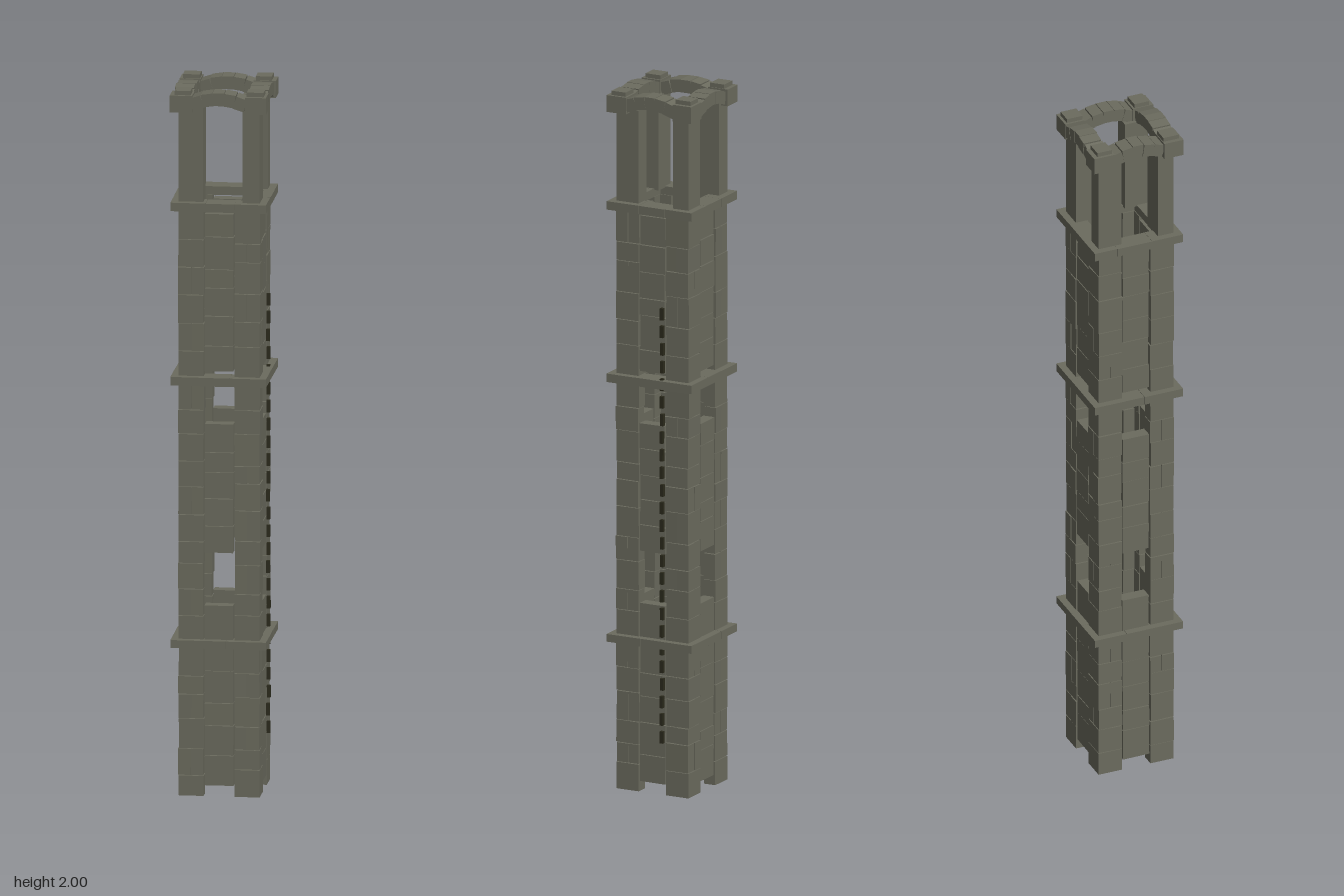
import * as THREE from 'three';

const H = 0.113;   // outer half width of the shaft
const IN = 0.077;  // inner face of the walls
const WIN = 0.04;  // half width of the middle panels and windows

export function createModel() {
  const tower = new THREE.Group();
  tower.name = 'stoneTower';
  const stoneMat = new THREE.MeshStandardMaterial({ color: 0x6b6b5e });
  stoneMat.name = 'weathered stone';
  const ironMat = new THREE.MeshStandardMaterial({ color: 0x2b2a1c });
  ironMat.name = 'dark iron';

  let seed = 17;
  const rnd = () => (seed = (seed * 16807) % 2147483647) / 2147483647;
  const jit = (a) => (rnd() - 0.5) * 2 * a;

  // one box given by its limits, optionally a little uneven
  function block(parent, name, u0, u1, y0, y1, w0, w1, uneven = 0, mat = stoneMat) {
    const m = new THREE.Mesh(new THREE.BoxGeometry(u1 - u0, y1 - y0, w1 - w0), mat);
    m.position.set((u0 + u1) / 2 + jit(uneven), (y0 + y1) / 2, (w0 + w1) / 2 + jit(uneven));
    m.rotation.set(jit(uneven * 4), jit(uneven * 4), jit(uneven * 6));
    m.name = name;
    parent.add(m);
    return m;
  }

  // split a height range into uneven courses
  function courses(y0, y1, size, fn) {
    const n = Math.max(1, Math.round((y1 - y0) / size));
    const cuts = [y0];
    for (let i = 1; i < n; i++) cuts.push(y0 + ((y1 - y0) * (i + jit(0.18))) / n);
    cuts.push(y1);
    for (let i = 0; i < n; i++) {
      fn(cuts[i] + (i ? 0.001 : 0), cuts[i + 1] - (i < n - 1 ? 0.001 : 0), i);
    }
  }

  const E = 0.0015;
  for (let k = 0; k < 4; k++) {
    const side = new THREE.Group();
    side.name = 'towerSide' + (k + 1);
    side.rotation.y = (k * Math.PI) / 2;
    tower.add(side);

    // corner stones, the long arm changing face with each course
    for (const [a, b] of [[0, 0.42], [0.44, 1.165], [1.19, 1.66]]) {
      courses(a, b, 0.075, (y0, y1, i) => {
        const e = i ? E : 0;
        if (i % 2 === 0) {
          block(side, 'cornerStone', -H, -WIN - 0.003, y0, y1, IN, H, e);
          block(side, 'cornerStone', -H, -IN, y0, y1, WIN + 0.003, IN, e);
        } else {
          block(side, 'cornerStone', -H, -IN, y0, y1, WIN + 0.003, H, e);
          block(side, 'cornerStone', -IN, -WIN - 0.003, y0, y1, IN, H, e);
        }
      });
    }

    // middle panels, leaving the windows open
    for (const [a, b] of [[0.03, 0.42], [0.44, 0.54], [0.69, 1.055], [1.205, 1.65]]) {
      courses(a, b, 0.075, (y0, y1) => {
        block(side, 'wallStone', -WIN, WIN - 0.001, y0, y1, IN, H - 0.002, E);
      });
    }

    // projecting string courses, three slabs to a side
    for (const [y0, y1] of [[0.422, 0.444], [1.166, 1.19], [1.66, 1.684]]) {
      const cuts = [-0.133, -0.045 + jit(0.02), 0.03 + jit(0.02), 0.079];
      for (let i = 0; i < 3; i++) {
        block(side, 'bandSlab', cuts[i], cuts[i + 1], y0, y1, 0.079, 0.133, i === 1 ? 0.001 : 0);
      }
    }

    // belfry post, longer along this face
    block(side, 'belfryPost', -H, -0.044, 1.68, 1.95, 0.065, H);

    // crown: a corner block with a cap, then a shallow arch of stones
    block(side, 'crownCorner', -0.134, -0.072, 1.94, 1.988, 0.075, 0.133, 0.0008);
    block(side, 'crownCap', -0.122, -0.078, 1.985, 2.0, 0.078, 0.125);
    const n = 5;
    for (let i = 0; i < n; i++) {
      const t = (i + 0.5) / n * 2 - 1;
      const u = t * 0.076;
      const s = block(side, 'archStone', u - 0.0158, u + 0.0158, 1.961, 1.997, 0.077, 0.13);
      s.position.y -= 0.018 * t * t;
      s.position.z += jit(0.002);
      s.rotation.z = -t * 0.38;
    }
  }

  // row of iron links down the left wall
  const links = new THREE.Group();
  links.name = 'ironLinks';
  tower.add(links);
  for (let i = 0; i < 25; i++) {
    const y = 0.15 + i * 0.0505;
    block(links, 'ironLink', 0.114, 0.124, y, y + 0.034, -0.039, -0.029, 0.001, ironMat);
  }
  return tower;
}
